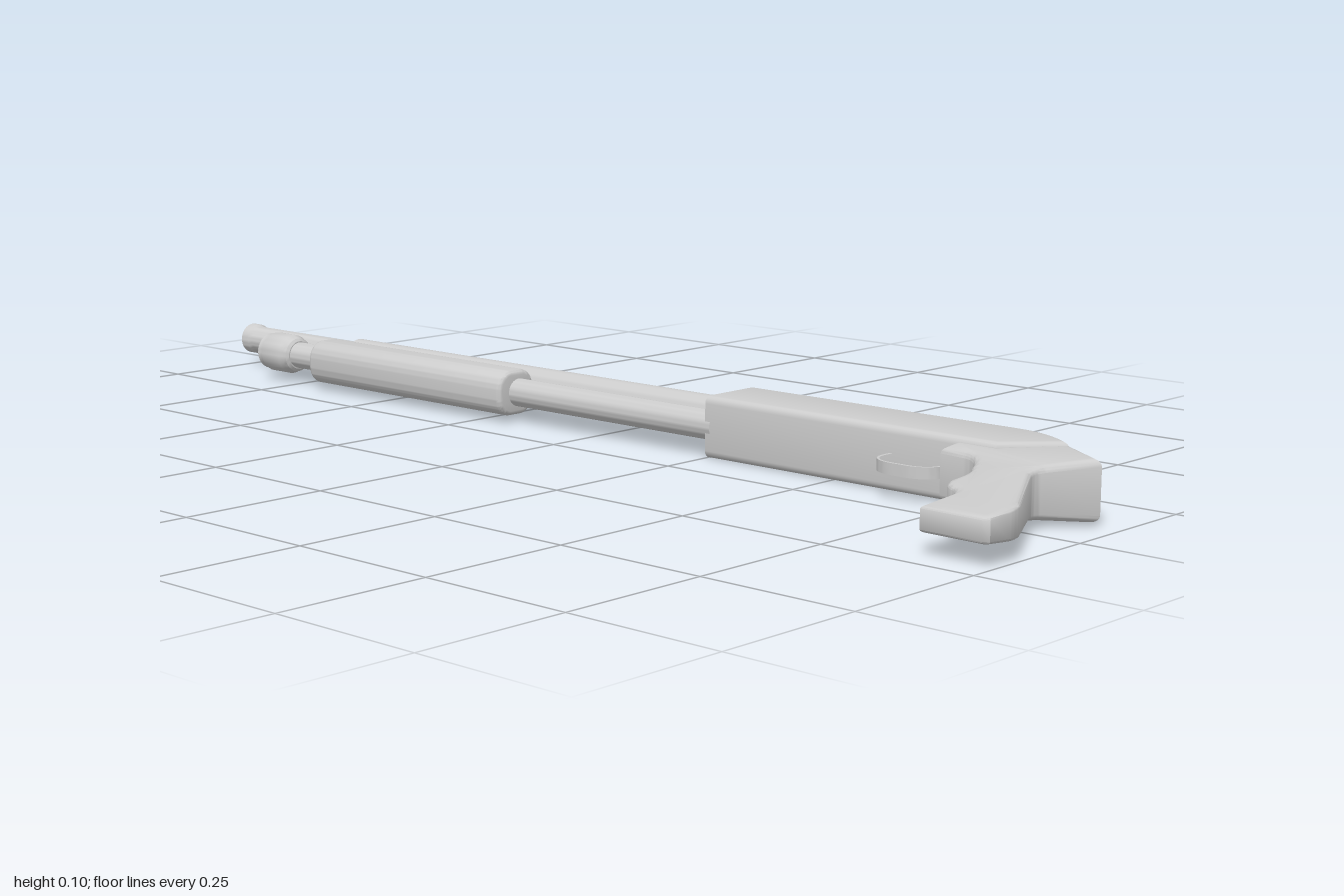
import * as THREE from 'three';
import { toCreasedNormals } from 'three/addons/utils/BufferGeometryUtils.js';

const MID = 0.051; // height of the lengthwise centre plane

export function createModel() {
  const group = new THREE.Group();
  const material = new THREE.MeshStandardMaterial({ color: 0xcccccc });

  function add(name, geometry, crease = 0.6) {
    const mesh = new THREE.Mesh(toCreasedNormals(geometry, crease), material);
    mesh.name = name;
    group.add(mesh);
    return mesh;
  }

  // Turned part along x; the profile is a list of [x, radius]
  function turned(name, z, profile) {
    const g = new THREE.LatheGeometry(profile.map(([x, r]) => new THREE.Vector2(r, x)), 32);
    g.rotateZ(-Math.PI / 2).translate(0, MID, z);
    return add(name, g);
  }

  // Plate drawn in (x, z), extruded across the thickness, with rounded rims
  function plate(shape, thickness, bevel) {
    const g = new THREE.ExtrudeGeometry(shape, {
      depth: thickness - 2 * bevel, bevelEnabled: bevel > 0, bevelThickness: bevel,
      bevelSize: bevel, bevelOffset: -bevel, bevelSegments: 4, curveSegments: 10,
    });
    return g.translate(0, 0, bevel - thickness / 2).rotateX(Math.PI / 2).translate(0, MID, 0);
  }

  function mapVertices(g, rule) {
    const p = g.attributes.position;
    const v = new THREE.Vector3();
    for (let i = 0; i < p.count; i++) {
      rule(v.fromBufferAttribute(p, i));
      p.setXYZ(i, v.x, v.y, v.z);
    }
    return g;
  }

  // Barrel with hollow flared muzzle and a thicker rear section
  turned('barrel', -0.185, [
    [-0.94, 0], [-0.94, 0.018], [-1, 0.018], [-1, 0.028], [-0.982, 0.028], [-0.975, 0.024],
    [-0.69, 0.024], [-0.69, 0.028], [-0.687, 0.031], [0.26, 0.031],
  ]);

  // Lower tube and its end cap
  turned('lowerTube', -0.11, [[-0.8, 0.024], [0.26, 0.024]]);
  turned('tubeCap', -0.11, [
    [-0.86, 0], [-0.86, 0.027], [-0.852, 0.033], [-0.842, 0.033], [-0.836, 0.036],
    [-0.788, 0.036], [-0.782, 0.033], [-0.774, 0.031], [-0.77, 0.026], [-0.77, 0],
  ]);

  // Sliding fore grip: rounded section swept along x
  const w = 0.042, h = 0.039, r = 0.031;
  const section = new THREE.Shape();
  section.moveTo(w - r, -h);
  section.absarc(w - r, r - h, r, -Math.PI / 2, 0);
  section.absarc(w - r, h - r, r, 0, Math.PI / 2);
  section.absarc(r - w, h - r, r, Math.PI / 2, Math.PI);
  section.absarc(r - w, r - h, r, Math.PI, Math.PI * 1.5);
  const fore = new THREE.ExtrudeGeometry(section, {
    depth: 0.484, bevelThickness: 0.008, bevelSize: 0.008, bevelOffset: -0.008,
    bevelSegments: 3, curveSegments: 8,
  });
  add('foreGrip', fore.rotateY(Math.PI / 2).translate(-0.682, MID, -0.105));

  // Receiver with sloping rear; its front end is squared off at x = 0.25
  const body = new THREE.Shape();
  body.moveTo(0.22, -0.215);
  body.lineTo(0.75, -0.215);
  body.bezierCurveTo(0.80, -0.215, 0.835, -0.197, 0.872, -0.168);
  body.lineTo(0.80, -0.088);
  body.lineTo(0.22, -0.088);
  body.closePath();
  add('receiver', mapVertices(plate(body, 0.1, 0.012), (v) => { v.x = Math.max(v.x, 0.25); }));

  // Trigger guard: thin loop below the receiver
  function guardOutline(path, t) {
    path.moveTo(0.612 + t, -0.095);
    path.lineTo(0.612 + t, -0.068);
    path.bezierCurveTo(0.614 + t, -0.042, 0.635, -0.028 - t, 0.66, -0.028 - t);
    path.lineTo(0.685, -0.028 - t);
    path.bezierCurveTo(0.71, -0.028 - t, 0.728 - t, -0.045, 0.728 - t, -0.068);
    path.lineTo(0.728 - t, -0.095);
    path.closePath();
    return path;
  }
  const guard = guardOutline(new THREE.Shape(), 0);
  guard.holes.push(guardOutline(new THREE.Path(), 0.005));
  add('triggerGuard', plate(guard, 0.018, 0));

  // Pistol grip: finger-shaped outline, thinning toward the butt
  const grip = new THREE.Shape();
  grip.moveTo(0.872, -0.17);
  grip.lineTo(0.963, -0.108);
  grip.lineTo(0.917, -0.04);
  grip.quadraticCurveTo(0.906, -0.022, 0.916, -0.002);
  grip.lineTo(0.985, 0.125);
  grip.quadraticCurveTo(0.995, 0.145, 0.995, 0.165);
  grip.lineTo(0.993, 0.205);
  grip.lineTo(0.985, 0.212);
  grip.lineTo(0.884, 0.21);
  grip.lineTo(0.884, 0.14);
  grip.quadraticCurveTo(0.882, 0.118, 0.862, 0.108);
  grip.quadraticCurveTo(0.838, 0.095, 0.84, 0.07);
  grip.quadraticCurveTo(0.842, 0.03, 0.825, 0.008);
  grip.quadraticCurveTo(0.805, -0.04, 0.775, -0.044);
  grip.lineTo(0.732, -0.048);
  grip.lineTo(0.732, -0.09);
  grip.lineTo(0.80, -0.09);
  grip.closePath();
  const half = (z) => (z < -0.1 ? 0.046 : z < 0
    ? THREE.MathUtils.mapLinear(z, -0.1, 0, 0.046, 0.035)
    : THREE.MathUtils.mapLinear(z, 0, 0.212, 0.035, 0.019));
  add('pistolGrip', mapVertices(plate(grip, 0.1, 0.012), (v) => {
    v.y = MID + (v.y - MID) * half(v.z) / 0.05;
  }));

  return group;
}
